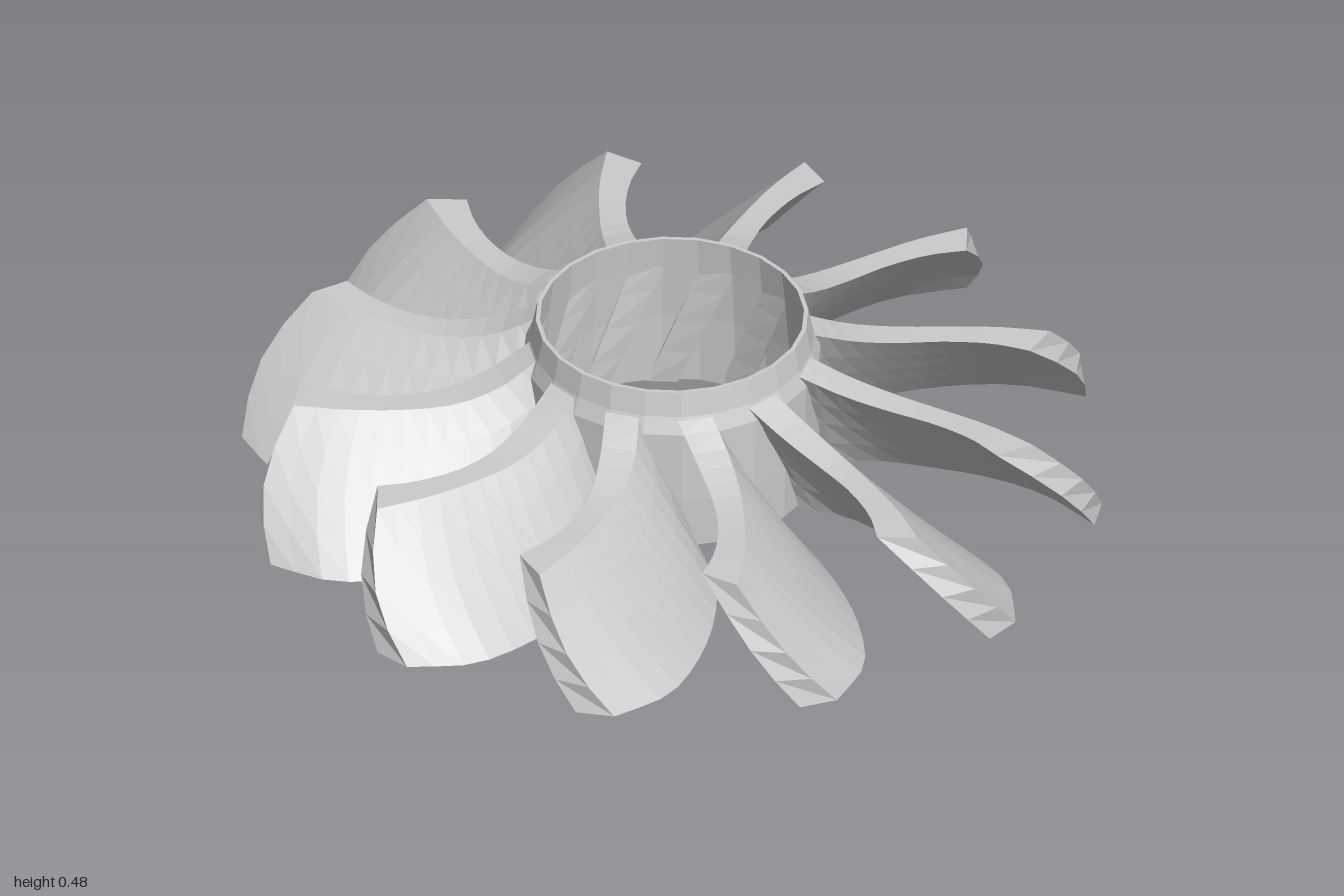
import * as THREE from 'three';

const BLADES = 12, STATIONS = 12, ROWS = 5;
const material = new THREE.MeshStandardMaterial({ color: 0xcccccc, flatShading: true, side: THREE.DoubleSide });

const curve = (pts) => new THREE.CatmullRomCurve3(pts.map((p) => new THREE.Vector3(...p)));

// The four long edges of one blade pointing to +z, from hub to tip
const topLeft = curve([[-0.095, 0.42, 0.3], [-0.085, 0.365, 0.42], [-0.085, 0.337, 0.53], [-0.103, 0.33, 0.63], [-0.147, 0.33, 0.73], [-0.2, 0.33, 0.8]]);
const topRight = curve([[-0.015, 0.42, 0.315], [-0.005, 0.365, 0.42], [-0.015, 0.337, 0.53], [-0.043, 0.33, 0.64], [-0.085, 0.33, 0.76], [-0.14, 0.33, 0.87]]);
const bottomLeft = curve([[0.05, 0.065, 0.32], [0.11, 0.055, 0.43], [0.125, 0.045, 0.58], [0.115, 0.042, 0.72], [0.07, 0.042, 0.86], [-0.03, 0.045, 0.995]]);
const bottomRight = curve([[0.12, 0.065, 0.31], [0.19, 0.055, 0.44], [0.212, 0.045, 0.59], [0.205, 0.042, 0.73], [0.165, 0.042, 0.88], [0.06, 0.045, 0.995]]);

// Leaning, curved blade skinned over closed cross-sections; droop sags its lower edge
function bladeGeometry(droop) {
  const pos = [], idx = [], n = ROWS * 2;
  for (let k = 0; k <= STATIONS; k++) {
    const u = k / STATIONS;
    for (let i = 0; i < n; i++) {
      const left = i < ROWS;
      const v = (left ? i : n - 1 - i) / (ROWS - 1);
      const p = (left ? topLeft : topRight).getPoint(u).lerp((left ? bottomLeft : bottomRight).getPoint(u), v);
      const bulge = u * u * Math.sin(Math.PI * v);
      p.z += 0.04 * bulge;
      p.x -= 0.015 * bulge;
      p.y -= droop * v * v * Math.sin(Math.PI * u);
      pos.push(p.x, p.y, p.z);
    }
  }
  for (let k = 0; k < STATIONS; k++) {
    for (let i = 0; i < n; i++) {
      const a = k * n + i, b = k * n + (i + 1) % n;
      idx.push(a, b, b + n, a, b + n, a + n);
    }
  }
  // End caps
  const e = STATIONS * n;
  for (let i = 0; i < ROWS - 1; i++) {
    const [a, b, c, d] = [i, i + 1, n - 2 - i, n - 1 - i];
    idx.push(e + a, e + b, e + c, e + a, e + c, e + d);
    idx.push(a, c, b, a, d, c);
  }
  const g = new THREE.BufferGeometry();
  g.setAttribute('position', new THREE.Float32BufferAttribute(pos, 3));
  g.setIndex(idx);
  g.computeVertexNormals();
  return g;
}

export function createModel() {
  const group = new THREE.Group();
  group.name = 'bladedWheel';

  // Thin open hub ring, narrowing to a collar at the top
  const profile = [
    [0.332, 0.07], [0.342, 0.07], [0.345, 0.2], [0.342, 0.38], [0.326, 0.42],
    [0.314, 0.48], [0.304, 0.48], [0.312, 0.4], [0.325, 0.25], [0.332, 0.07],
  ].map(([r, y]) => new THREE.Vector2(r, y));
  const hub = new THREE.Mesh(new THREE.LatheGeometry(profile, 24), material);
  hub.name = 'hub';
  group.add(hub);

  // Ring of blades; a few sag slightly
  const droops = { 7: 0.025, 8: 0.02, 9: 0.042 };
  const plain = bladeGeometry(0);
  for (let k = 0; k < BLADES; k++) {
    const blade = new THREE.Mesh(droops[k] ? bladeGeometry(droops[k]) : plain, material);
    blade.name = `blade${k + 1}`;
    blade.rotation.y = (k * Math.PI * 2) / BLADES;
    group.add(blade);
  }
  return group;
}
